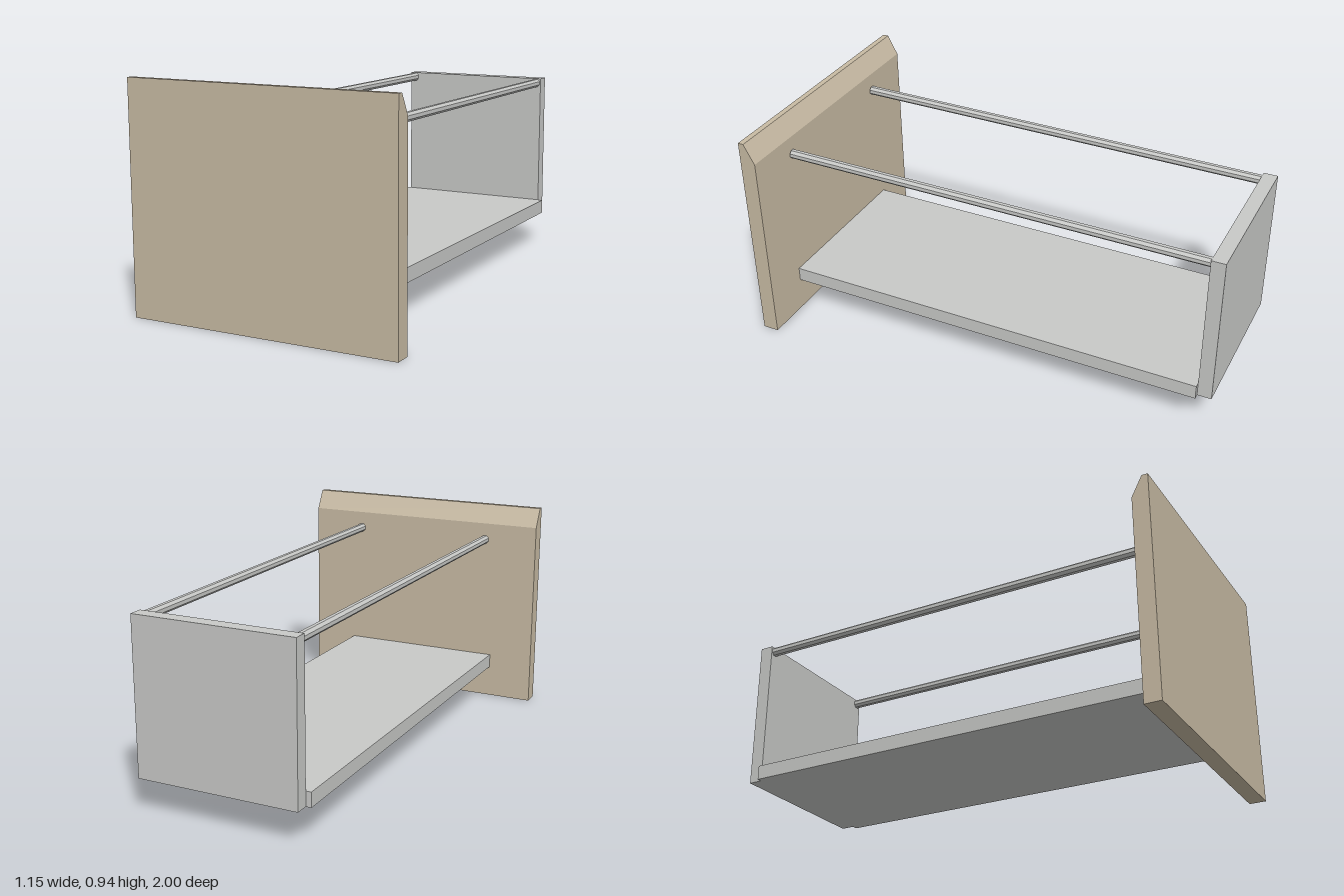
import * as THREE from 'three';

export function createModel() {
  const group = new THREE.Group();
  group.name = 'drawer';
  const wood = new THREE.MeshStandardMaterial({ color: 0xc8bba4 });
  wood.name = 'beige front';
  const grey = new THREE.MeshStandardMaterial({ color: 0xc8c9c7 });
  grey.name = 'light grey';

  const add = (name, geometry, material, x = 0, y = 0, z = 0) => {
    const mesh = new THREE.Mesh(geometry, material);
    mesh.name = name;
    mesh.position.set(x, y, z);
    group.add(mesh);
    return mesh;
  };

  // Front panel: side profile with a bevelled finger grip along the inner top edge
  const width = 1.15;
  const profile = new THREE.Shape(
    [[-1, 0], [-0.93, 0], [-0.93, 0.855], [-0.975, 0.94], [-1, 0.94]].map(([x, y]) => new THREE.Vector2(x, y))
  );
  const front = new THREE.ExtrudeGeometry(profile, { depth: width, bevelEnabled: false });
  front.translate(0, 0, -width / 2).rotateY(Math.PI / 2);
  add('frontPanel', front, wood);

  // Floor and back wall
  add('bottomPanel', new THREE.BoxGeometry(0.74, 0.062, 1.87), grey, 0, 0.175, -0.005);
  add('backPanel', new THREE.BoxGeometry(0.695, 0.655, 0.06), grey, 0, 0.4725, -0.97);

  // Eight-sided side rails running from back wall to front panel
  for (const side of [-1, 1]) {
    const rail = new THREE.CylinderGeometry(0.02, 0.02, 1.865, 8).toNonIndexed();
    rail.rotateY(Math.PI / 8).rotateX(Math.PI / 2);
    rail.computeVertexNormals();
    add(side > 0 ? 'leftRail' : 'rightRail', rail, grey, side * 0.325, 0.779, -0.0075);
  }
  return group;
}
